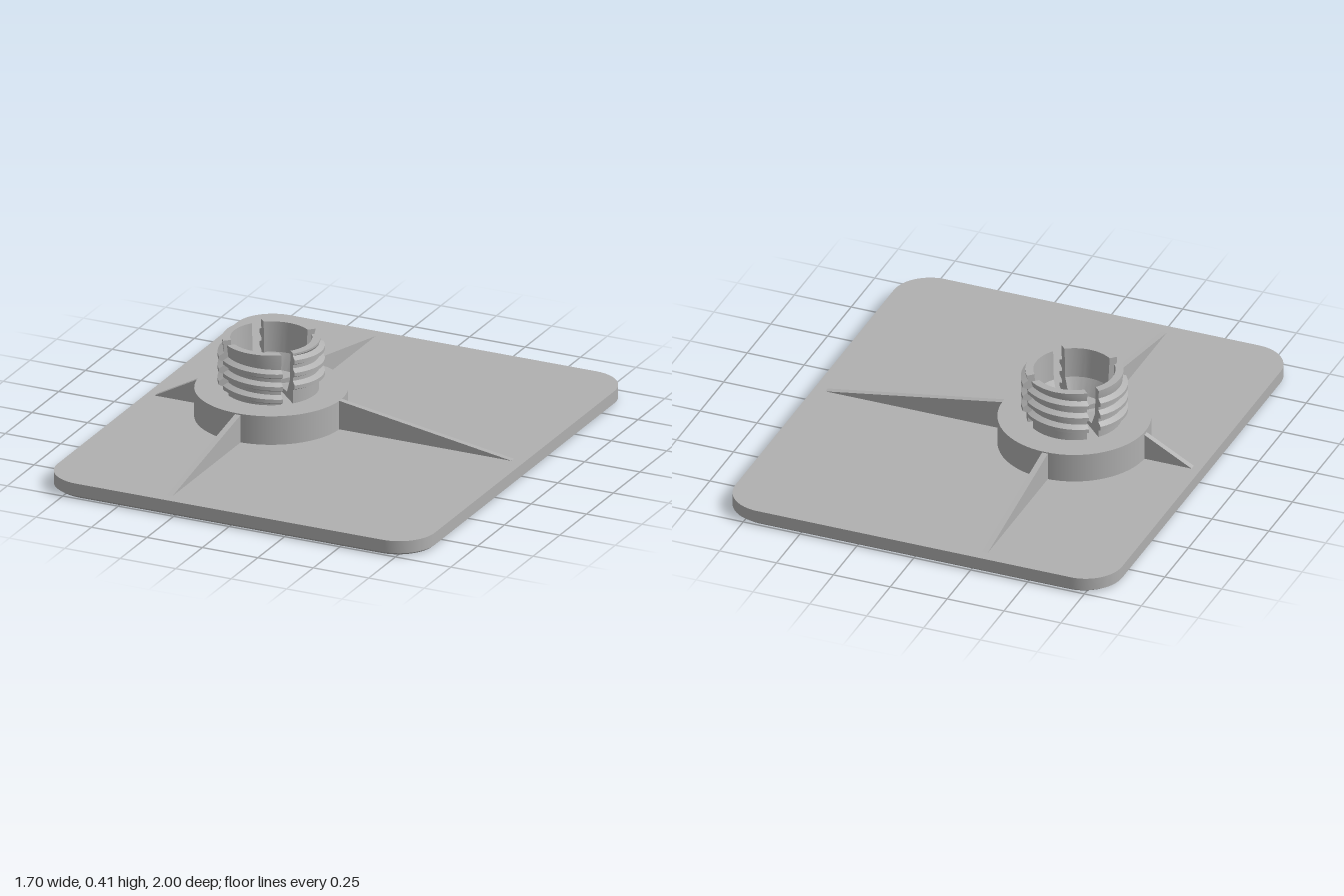
import * as THREE from 'three';
import { toCreasedNormals } from 'three/addons/utils/BufferGeometryUtils.js';

const HUB_X = -0.292;
const PLATE_TOP = 0.065, COLLAR_TOP = 0.19, NECK_TOP = 0.41;
const COLLAR_R = 0.313, SLOT = 0.05, PITCH = 0.055;

function roundedRect(hx, hz, r) {
  const s = new THREE.Shape();
  s.absarc(hx - r, hz - r, r, 0, Math.PI / 2);
  s.absarc(-hx + r, hz - r, r, Math.PI / 2, Math.PI);
  s.absarc(-hx + r, -hz + r, r, Math.PI, Math.PI * 1.5);
  s.absarc(hx - r, -hz + r, r, Math.PI * 1.5, Math.PI * 2);
  return s;
}

// Cross-section of the threaded neck: up the outside, over the rim, down the bowl
function neckProfile(theta) {
  const pts = [[0.195, 0.185]];
  const start = 0.214 + PITCH * theta / (Math.PI * 2);
  for (let k = 0; k < 3; k++) {
    const y = start + k * PITCH;
    pts.push([0.195, y - 0.02], [0.218, y - 0.008], [0.218, y + 0.008], [0.195, y + 0.02]);
  }
  pts.push([0.2, NECK_TOP - 0.008], [0.2, NECK_TOP], [0.167, NECK_TOP], [0.16, 0.28],
    [0.125, 0.215], [0.036, 0.205], [0.036, 0.185]);
  return pts;
}

// One quarter of the neck, ending at flat slot walls on both sides
function neckQuarter(q) {
  const N = 20, pos = [], idx = [];
  const a0 = Math.PI / 4 + q * Math.PI / 2;
  const count = neckProfile(0).length;
  for (let j = 0; j <= N; j++) {
    const t = j / N;
    for (const [r, y] of neckProfile((q + t) * Math.PI / 2)) {
      const gap = Math.asin(SLOT / 2 / r);
      const a = a0 + gap + t * (Math.PI / 2 - 2 * gap);
      pos.push(r * Math.cos(a), y, r * Math.sin(a));
    }
  }
  for (let j = 0; j < N; j++) {
    for (let i = 0; i < count - 1; i++) {
      const a = j * count + i, b = a + 1, c = a + count, d = c + 1;
      idx.push(a, b, c, b, d, c);
    }
  }
  // slot walls
  const outline = neckProfile(0).map(([r, y]) => new THREE.Vector2(r, y));
  for (const [a, b, c] of THREE.ShapeUtils.triangulateShape(outline, [])) {
    const e = N * count;
    idx.push(a, c, b, e + a, e + b, e + c);
  }
  const g = new THREE.BufferGeometry();
  g.setAttribute('position', new THREE.Float32BufferAttribute(pos, 3));
  g.setIndex(idx);
  return toCreasedNormals(g, 0.35);
}

export function createModel() {
  const model = new THREE.Group();
  const grey = new THREE.MeshStandardMaterial({ color: 0xb0b0b0 });
  grey.name = 'plain grey';

  const add = (name, geometry, parent = model) => {
    const m = new THREE.Mesh(geometry, grey);
    m.name = name;
    parent.add(m);
    return m;
  };

  // Base plate with a small chamfer around its underside
  const CH = 0.012;
  const outline = roundedRect(0.85, 1, 0.16);
  const slab = (depth) => new THREE.ExtrudeGeometry(outline, { depth, bevelEnabled: false, curveSegments: 12 });
  const plate = slab(PLATE_TOP - CH).rotateX(-Math.PI / 2).translate(0, CH, 0);
  add('basePlate', toCreasedNormals(plate, 0.5));

  const chamfer = slab(CH).rotateX(-Math.PI / 2);
  const p = chamfer.attributes.position;
  for (let i = 0; i < p.count; i++) {
    if (p.getY(i) < CH / 2) p.setXYZ(i, p.getX(i) * 0.984, 0, p.getZ(i) * 0.986);
  }
  add('plateChamfer', toCreasedNormals(chamfer, 0.5));

  // Everything around the hub axis
  const hub = new THREE.Group();
  hub.name = 'hub';
  hub.position.x = HUB_X;
  model.add(hub);

  const h = COLLAR_TOP - PLATE_TOP + 0.01;
  const collar = new THREE.CylinderGeometry(COLLAR_R, COLLAR_R, h, 64);
  add('collar', collar, hub).position.y = COLLAR_TOP - h / 2;

  // Four tapering ribs: [reach from hub axis, height at collar]
  const ribs = [[1.09, 0.19], [0.95, 0.185], [0.52, 0.177], [0.95, 0.185]];
  ribs.forEach(([reach, top], i) => {
    const s = new THREE.Shape([
      [0.29, 0.06], [reach, 0.06], [reach, PLATE_TOP], [COLLAR_R, top], [0.29, top],
    ].map(([x, y]) => new THREE.Vector2(x, y)));
    const g = new THREE.ExtrudeGeometry(s, { depth: 0.025, bevelEnabled: false });
    g.translate(0, 0, -0.0125);
    add('rib', g, hub).rotation.y = i * Math.PI / 2;
  });

  // Threaded neck split by two crossing slots
  for (let q = 0; q < 4; q++) add('neckQuarter', neckQuarter(q), hub);

  return model;
}
